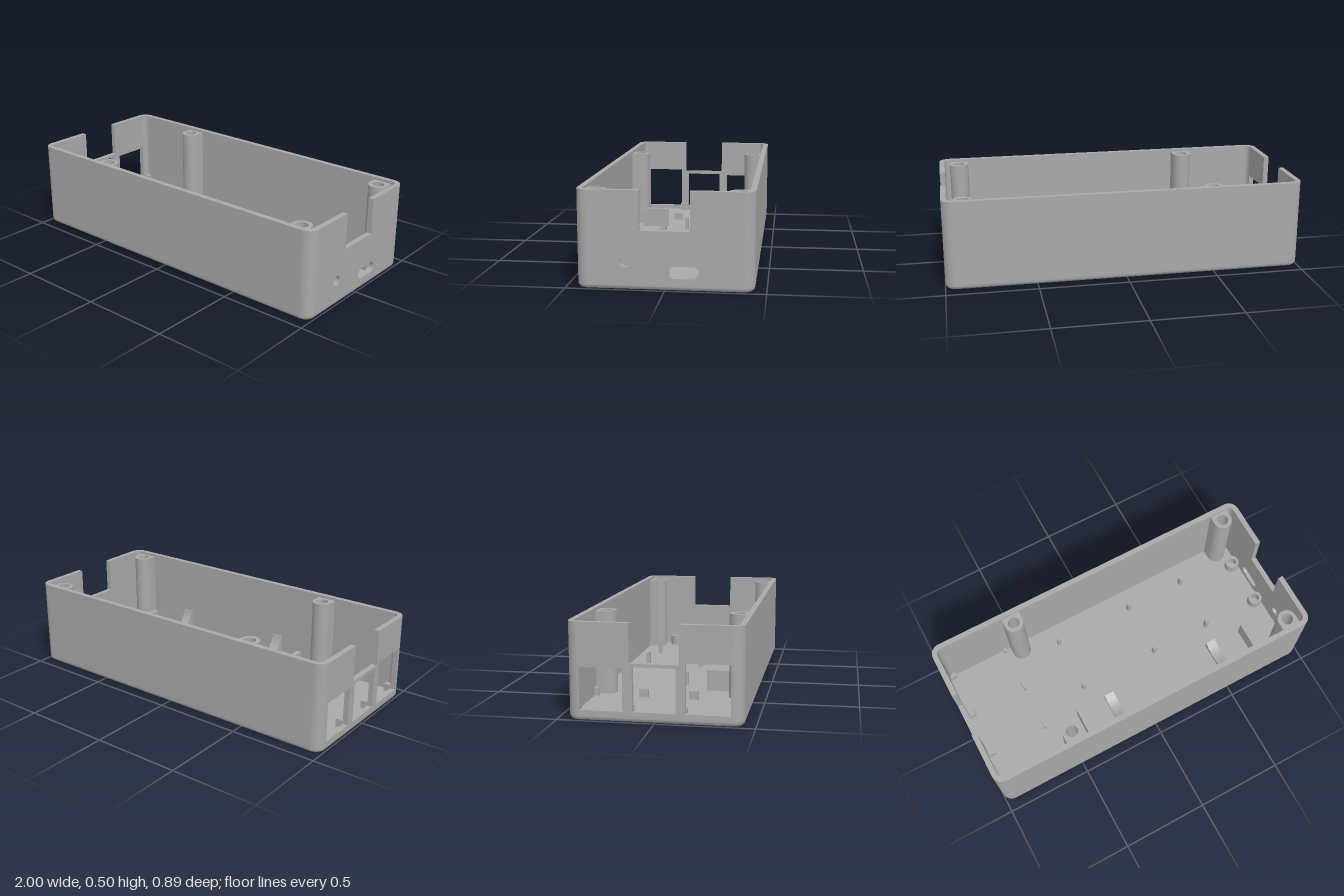
import * as THREE from 'three';
import { toCreasedNormals } from 'three/addons/utils/BufferGeometryUtils.js';

const X = 1, Z = 0.443, R = 0.06, T = 0.03, H = 0.5, FLOOR = 0.03, FILLET = 0.025;

export function createModel() {
  const root = new THREE.Group();
  root.name = 'openEnclosure';
  const grey = new THREE.MeshStandardMaterial({ color: 0xa8a8a8 });
  grey.name = 'grey plastic';

  const add = (name, geo, x = 0, y = 0, z = 0) => {
    const m = new THREE.Mesh(geo, grey);
    m.name = name;
    m.position.set(x, y, z);
    root.add(m);
    return m;
  };
  const box = (name, w, h, d, x, z) =>
    add(name, new THREE.BoxGeometry(w, h, d), x, FLOOR + h / 2, z);
  const extrude = (shape, depth, steps = 1) =>
    new THREE.ExtrudeGeometry(shape, { depth, steps, bevelEnabled: false, curveSegments: 16 });
  // plan shapes use (x, -z) and rise in y; side shapes use (-z, y) and run in x
  const plan = (shape, h, steps) => extrude(shape, h, steps).rotateX(-Math.PI / 2);
  const side = (shape, w) => extrude(shape, w).rotateY(Math.PI / 2);
  const rectHole = (u0, u1, v0, v1) => new THREE.Path([
    new THREE.Vector2(u0, v0), new THREE.Vector2(u0, v1),
    new THREE.Vector2(u1, v1), new THREE.Vector2(u1, v0)]);
  const circleHole = (u, v, r) => new THREE.Path().absarc(u, v, r, 0, Math.PI * 2, true);

  // floor plate with a rounded lower edge
  const cx = X - R, cz = Z - R, PI = Math.PI;
  const floorShape = new THREE.Shape();
  floorShape.absarc(cx, cz, R, 0, PI / 2);
  floorShape.absarc(-cx, cz, R, PI / 2, PI);
  floorShape.absarc(-cx, -cz, R, PI, PI * 1.5);
  floorShape.absarc(cx, -cz, R, PI * 1.5, PI * 2);
  const floor = plan(floorShape, FLOOR, 10);
  const p = floor.attributes.position;
  for (let i = 0; i < p.count; i++) {
    const up = Math.max(0, FILLET - p.getY(i));
    const keep = 1 - (FILLET - Math.sqrt(Math.max(0, FILLET ** 2 - up ** 2))) / R;
    const kx = THREE.MathUtils.clamp(p.getX(i), -cx, cx);
    const kz = THREE.MathUtils.clamp(p.getZ(i), -cz, cz);
    p.setX(i, kx + (p.getX(i) - kx) * keep);
    p.setZ(i, kz + (p.getZ(i) - kz) * keep);
  }
  add('floor', toCreasedNormals(floor, 0.6));

  // long walls, each with its two rounded corners
  const wall = new THREE.Shape();
  wall.moveTo(X, cz);
  wall.absarc(cx, cz, R, 0, PI / 2);
  wall.absarc(-cx, cz, R, PI / 2, PI);
  wall.lineTo(-X + T, cz);
  wall.absarc(-cx, cz, R - T, PI, PI / 2, true);
  wall.absarc(cx, cz, R - T, PI / 2, 0, true);
  const wallGeo = toCreasedNormals(plan(wall, H - FLOOR), 0.5);
  add('backWall', wallGeo, 0, FLOOR);
  add('frontWall', wallGeo, 0, FLOOR).rotation.y = PI;

  // end walls with a notch in the upper edge
  const endShape = () => new THREE.Shape([
    [-cz, FLOOR], [cz, FLOOR], [cz, H], [0.125, H], [0.125, 0.3],
    [-0.125, 0.3], [-0.125, H], [-cz, H]].map(([u, v]) => new THREE.Vector2(u, v)));

  const jackEnd = endShape();
  const slot = new THREE.Path();
  slot.absarc(0.14, 0.094, 0.031, PI / 2, -PI / 2, true);
  slot.absarc(0.05, 0.094, 0.031, -PI / 2, -PI * 1.5, true);
  slot.closePath();
  jackEnd.holes.push(circleHole(-0.195, 0.143, 0.028), slot);
  add('jackEndWall', toCreasedNormals(side(jackEnd, T), 0.5), X - T);

  const portEnd = endShape();
  portEnd.holes.push(
    rectHole(0.16, 0.38, 0.055, 0.275),
    rectHole(-0.108, 0.11, 0.055, 0.282),
    rectHole(-0.38, -0.155, 0.055, 0.31));
  add('portEndWall', side(portEnd, T), -X);

  // screw posts blended into the long walls
  const r = 0.055, reach = 0.06;
  const postShape = new THREE.Shape();
  postShape.moveTo(r, reach);
  postShape.lineTo(-r, reach);
  postShape.absarc(0, 0, r, PI, PI * 2);
  postShape.closePath();
  postShape.holes.push(circleHole(0, 0, 0.033));
  const postGeo = toCreasedNormals(plan(postShape, 0.485 - FLOOR), 0.5);
  for (const x of [-0.505, 0.885]) {
    add('backScrewPost', postGeo, x, FLOOR, -0.363);
    add('frontScrewPost', postGeo, x, FLOOR, 0.363).rotation.y = PI;
  }

  // small hollow bosses beside the jack end
  const bossShape = new THREE.Shape().absarc(0, 0, 0.042, 0, PI * 2);
  bossShape.holes.push(circleHole(0, 0, 0.026));
  const bossGeo = toCreasedNormals(plan(bossShape, 0.06), 0.5);
  for (const z of [-0.24, 0.04]) add('boardBoss', bossGeo, 0.93, FLOOR, z);

  // board pins
  for (const x of [-0.28, 0.21, 0.58])
    for (const z of [-0.29, 0.037]) box('boardPin', 0.022, 0.08, 0.022, x, z);

  // low board stops by the ports
  for (const [z, d] of [[-0.402, 0.03], [-0.14, 0.05], [0.132, 0.05], [0.392, 0.03]]) {
    box('portStop', 0.045, 0.045, d, -0.952, z);
    box('boardStop', 0.016, 0.045, d, -0.6, z);
  }

  // end stops and curved cradles for a cylinder lying along the front wall
  for (const x of [-0.38, 0.752]) box('cradleEndStop', 0.03, 0.115, 0.16, x, 0.25);
  const cradle = new THREE.Shape();
  cradle.moveTo(-0.155, FLOOR);
  cradle.lineTo(-0.415, FLOOR);
  cradle.lineTo(-0.415, 0.172);
  cradle.absarc(-0.25, 0.21, 0.16, PI + 0.24, PI * 2 - 0.94);
  cradle.closePath();
  const cradleGeo = toCreasedNormals(side(cradle, 0.06), 0.5);
  for (const x of [-0.2, 0.51]) add('cradle', cradleGeo, x);

  return root;
}
